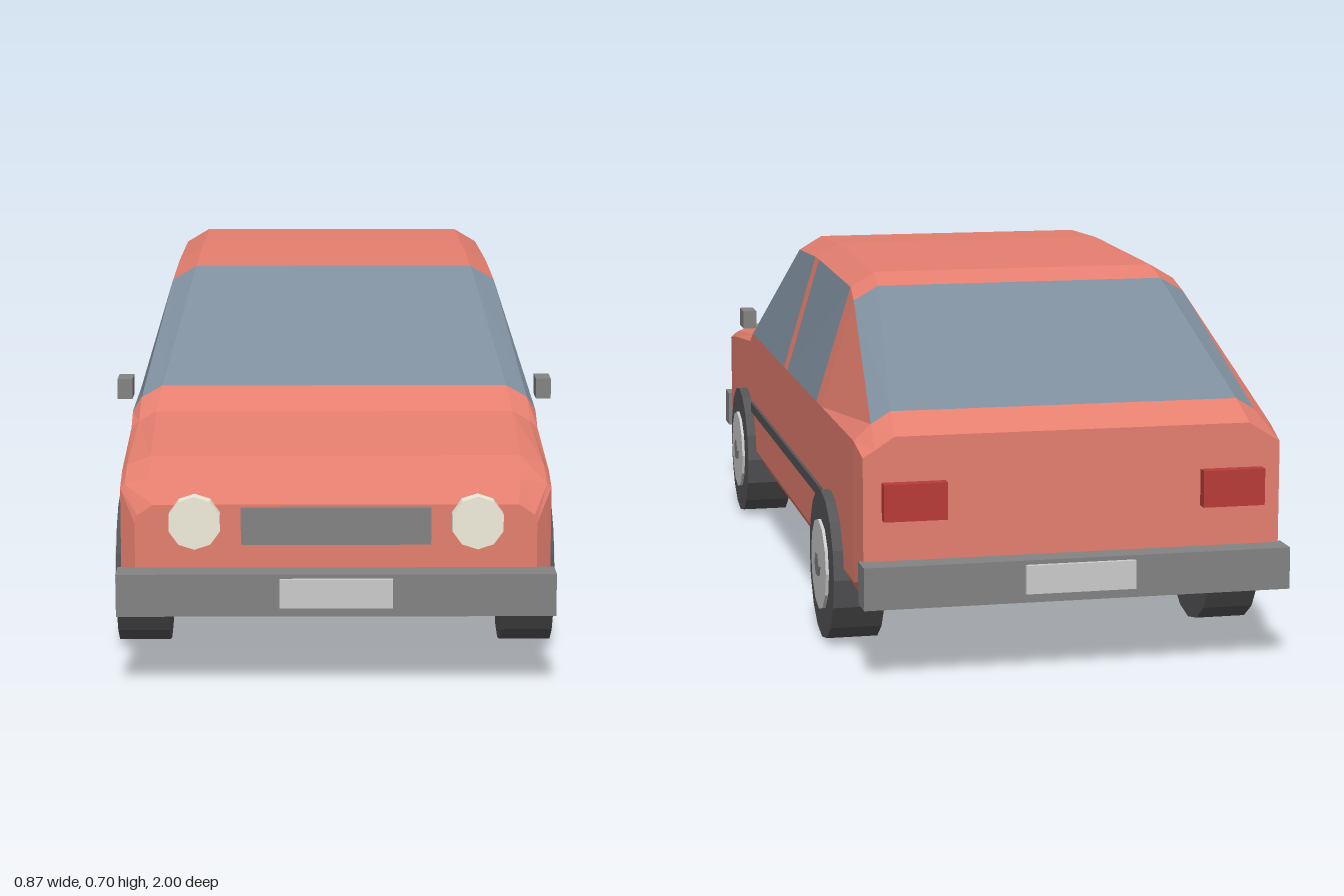
import * as THREE from 'three';

const paint = (color) => new THREE.MeshStandardMaterial({ color, flatShading: true });
const red = paint(0xe57f6f), glass = paint(0x7e8e9d), grey = paint(0x838383), dark = paint(0x555558);
const light = paint(0xcccccc), cream = paint(0xf2eddc), tail = paint(0xb83c38);

// Body cross-sections, front to back:
// [z, floor y, half width, belt y, shoulder x, shoulder y, top x, top y]
const STATIONS = [
  [0.935, 0.135, 0.375, 0.31, 0.37, 0.325, 0.34, 0.345],
  [0.905, 0.125, 0.403, 0.37, 0.395, 0.378, 0.345, 0.388],
  [0.82, 0.118, 0.405, 0.385, 0.395, 0.398, 0.35, 0.415],
  [0.54, 0.118, 0.405, 0.415, 0.39, 0.428, 0.355, 0.448],
  [0.49, 0.118, 0.405, 0.44, 0.387, 0.468, 0.345, 0.492],
  [0.21, 0.118, 0.405, 0.44, 0.336, 0.668, 0.287, 0.697],
  [0, 0.118, 0.405, 0.44, 0.334, 0.677, 0.285, 0.705],
  [-0.05, 0.118, 0.405, 0.44, 0.334, 0.677, 0.285, 0.705],
  [-0.44, 0.118, 0.405, 0.44, 0.334, 0.669, 0.285, 0.698],
  [-0.5, 0.118, 0.405, 0.44, 0.338, 0.65, 0.29, 0.678],
  [-0.87, 0.12, 0.405, 0.44, 0.372, 0.47, 0.335, 0.493],
  [-0.94, 0.14, 0.4, 0.42, 0.377, 0.434, 0.34, 0.458],
];

// Ring segments that are glazed, by the station the bay starts at
const SIDES = [2, 6], GLAZED = { 4: [2, 3, 4, 5, 6], 5: SIDES, 7: SIDES, 9: [3, 4, 5] };

function ring([z, floor, w, belt, sx, sy, tx, ty]) {
  const half = [[w - 0.03, floor], [w, floor + 0.05], [w, belt], [sx, sy], [tx, ty]];
  const mirrored = half.map(([x, y]) => [-x, y]).reverse();
  return [...half, ...mirrored].map(([x, y]) => [x, y, z]);
}

function shell(triangles, material, name) {
  const g = new THREE.BufferGeometry();
  g.setAttribute('position', new THREE.Float32BufferAttribute(triangles.flat(), 3));
  g.computeVertexNormals();
  const m = new THREE.Mesh(g, material);
  m.name = name;
  return m;
}

function buildBody(car) {
  const rings = STATIONS.map(ring), n = rings[0].length;
  const panels = [], windows = [];
  for (let i = 0; i < rings.length - 1; i++) {
    for (let j = 0; j < n; j++) {
      const k = (j + 1) % n;
      const a = rings[i][j], b = rings[i][k], c = rings[i + 1][k], d = rings[i + 1][j];
      (GLAZED[i]?.includes(j) ? windows : panels).push(a, d, c, a, c, b);
    }
  }
  // Nose and tail panels
  const nose = rings[0], rear = rings[rings.length - 1];
  for (let j = 1; j < n - 1; j++) {
    panels.push(nose[0], nose[j], nose[j + 1], rear[0], rear[j + 1], rear[j]);
  }
  car.add(shell(panels, red, 'body'), shell(windows, glass, 'windows'));
}

export function createModel() {
  const car = new THREE.Group();
  car.name = 'car';
  buildBody(car);

  const box = (name, w, h, d, x, y, z, material, parent = car) => {
    const m = new THREE.Mesh(new THREE.BoxGeometry(w, h, d), material);
    m.name = name;
    m.position.set(x, y, z);
    parent.add(m);
  };
  const disc = (name, r, depth, sides, material, parent) => {
    const m = new THREE.Mesh(new THREE.CylinderGeometry(r, r, depth, sides), material);
    m.name = name;
    parent.add(m);
    return m;
  };

  // Bumpers, plates and grille
  box('frontBumper', 0.816, 0.08, 0.06, 0, 0.185, 0.96, grey);
  box('rearBumper', 0.816, 0.08, 0.06, 0, 0.185, -0.96, grey);
  box('frontPlate', 0.21, 0.054, 0.012, 0, 0.19, 0.994, light);
  box('rearPlate', 0.21, 0.054, 0.012, 0, 0.19, -0.994, light);
  box('grille', 0.354, 0.07, 0.02, 0, 0.306, 0.937, grey);

  for (const s of [1, -1]) {
    const side = s > 0 ? 'left' : 'right';
    box(side + 'TailLight', 0.12, 0.07, 0.03, s * 0.305, 0.338, -0.948, tail);
    box(side + 'Mirror', 0.03, 0.04, 0.06, s * 0.421, 0.483, 0.45, grey);
    box(side + 'RubStrip', 0.012, 0.022, 1.0, s * 0.405, 0.266, -0.005, dark);

    const lamp = disc(side + 'Headlight', 0.05, 0.03, 10, cream, car);
    lamp.rotation.x = Math.PI / 2;
    lamp.position.set(s * 0.263, 0.315, 0.945);

    // Wheels: tyre, hub and centre cap, axis turned outward
    for (const [end, z] of [['Front', 0.6], ['Rear', -0.61]]) {
      const wheel = new THREE.Group();
      wheel.name = side + end + 'Wheel';
      wheel.position.set(s * 0.375, 0.147, z);
      wheel.rotation.z = -s * Math.PI / 2;
      disc('tyre', 0.147, 0.1, 16, dark, wheel);
      disc('hub', 0.09, 0.012, 12, light, wheel).position.y = 0.05;
      disc('centreCap', 0.025, 0.012, 6, grey, wheel).position.y = 0.054;
      car.add(wheel);
    }
  }
  return car;
}
